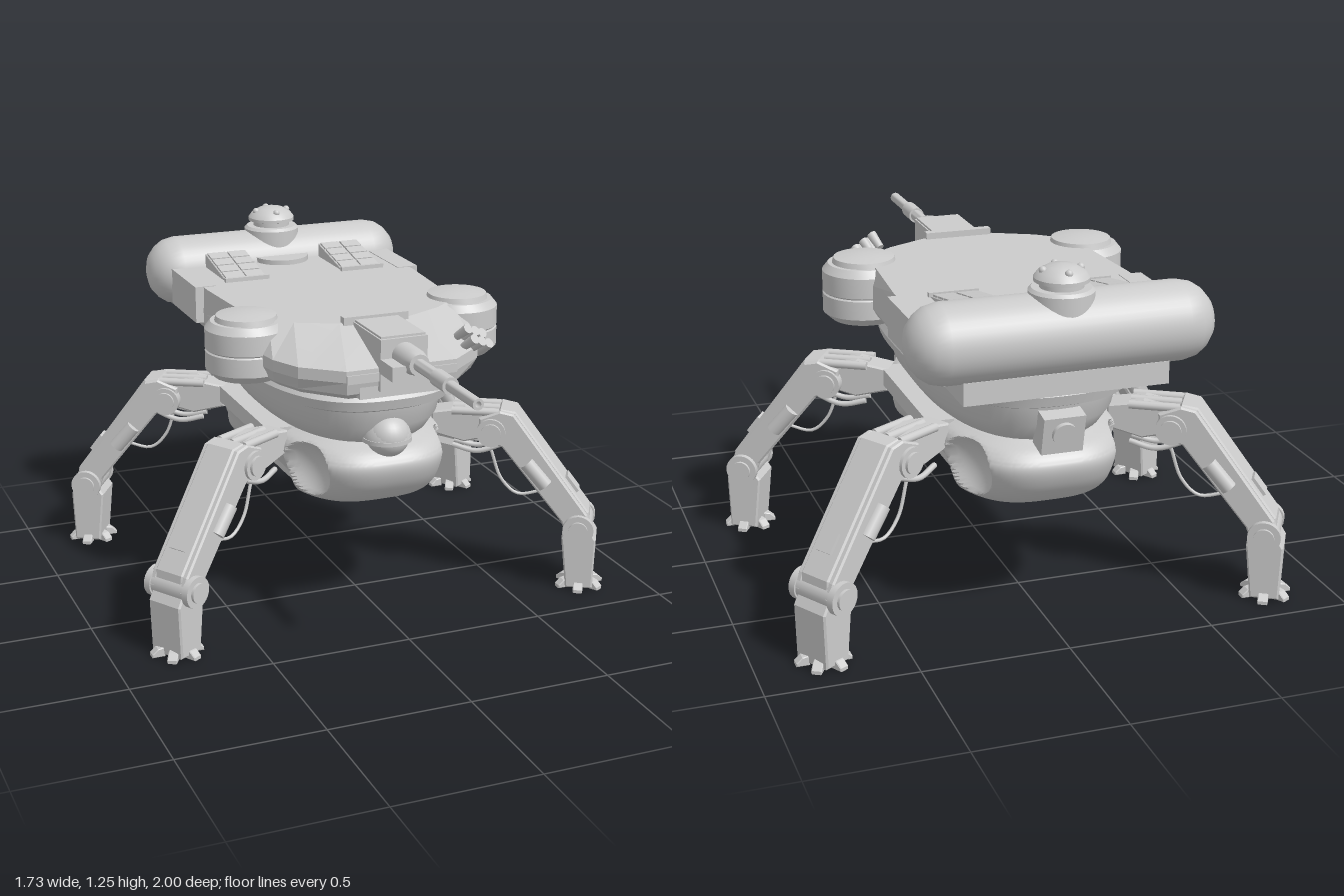
import * as THREE from 'three';
import { toCreasedNormals } from 'three/addons/utils/BufferGeometryUtils.js';

const MID = -0.27; // z of the chassis centre
const Q = Math.PI / 2;
const mat = new THREE.MeshStandardMaterial({ color: 0xcccccc, side: THREE.DoubleSide });

function add(parent, name, geo, x = 0, y = 0, z = 0, rx = 0, ry = 0, rz = 0) {
  const m = new THREE.Mesh(geo, mat);
  m.name = name;
  m.position.set(x, y, z);
  m.rotation.set(rx, ry, rz);
  parent.add(m);
}
const box = (w, h, d) => new THREE.BoxGeometry(w, h, d);
const cyl = (r0, r1, h, n = 24) => new THREE.CylinderGeometry(r0, r1, h, n);
const lathe = (pts, n = 40) =>
  toCreasedNormals(new THREE.LatheGeometry(pts.map(p => new THREE.Vector2(...p)), n), 0.6);
const tube = (pts, r) =>
  new THREE.TubeGeometry(new THREE.CatmullRomCurve3(pts.map(p => new THREE.Vector3(...p))), 16, r, 8);

// side profile extruded symmetrically across its width
function slab(pts, width, bevel = 0.006) {
  const g = new THREE.ExtrudeGeometry(new THREE.Shape(pts.map(p => new THREE.Vector2(...p))), {
    depth: width - 2 * bevel, bevelEnabled: true, bevelSize: bevel, bevelThickness: bevel,
    bevelOffset: -bevel, bevelSegments: 1 });
  return g.translate(0, 0, bevel - width / 2);
}

// closed skin through rings of equal point count, listed bottom to top
function loft(rings, crease) {
  const n = rings[0].length, pos = rings.flat(2), idx = [];
  for (let k = 0; k < rings.length - 1; k++)
    for (let i = 0; i < n; i++) {
      const a = k * n + i, b = k * n + (i + 1) % n;
      idx.push(a, a + n, b, b, a + n, b + n);
    }
  const top = (rings.length - 1) * n;
  for (let i = 1; i < n - 1; i++) idx.push(0, i, i + 1, top, top + i + 1, top + i);
  const g = new THREE.BufferGeometry();
  g.setAttribute('position', new THREE.Float32BufferAttribute(pos, 3));
  g.setIndex(idx);
  return toCreasedNormals(g, crease);
}
// superellipse ring; the angle runs from +x towards +z
function oval(y, hx, hz, e, n = 64) {
  return Array.from({ length: n }, (_, i) => {
    const a = i / n * Math.PI * 2, c = Math.cos(a), s = Math.sin(a);
    return [hx * Math.sign(c) * Math.abs(c) ** (2 / e), y, MID + hz * Math.sign(s) * Math.abs(s) ** (2 / e)];
  });
}
// mirrored plan outline, from the rear of +x round the front to the rear of -x
const plan = half => [...half, ...half.slice().reverse().map(([x, y, z]) => [-x, y, z])];

// hull rule: slanted flanks amidships and a round, sideways-facing leg socket near each corner
function carve([x, y, z]) {
  const dz = Math.abs(z - MID);
  let ax = Math.abs(x);
  const blend = 1 - THREE.MathUtils.smoothstep(dz, 0.28, 0.36);
  ax = THREE.MathUtils.lerp(ax, Math.min(ax, 0.2 + Math.max(0, y - 0.43) * 0.65), blend);
  const r2 = 0.15 ** 2 - (y - 0.545) ** 2 - (dz - 0.48) ** 2;
  if (r2 > 0) ax = Math.min(ax, 0.34 - Math.sqrt(r2));
  return [Math.sign(x) * ax, y, z];
}

function buildChassis(g) {
  // profile points hold height, half width and half length
  const profile = new THREE.CatmullRomCurve3([[0.4, 0.19, 0.42], [0.425, 0.25, 0.5], [0.45, 0.285, 0.55], [0.52, 0.305, 0.61],
    [0.59, 0.315, 0.63], [0.63, 0.30, 0.6], [0.66, 0.25, 0.54]].map(p => new THREE.Vector3(...p)));
  add(g, 'lowerHull', loft(profile.getPoints(44).map(p => oval(p.x, p.y, p.z, 3, 240).map(carve)), 0.6));
  add(g, 'upperBowl', loft([oval(0.63, 0.23, 0.51, 2.5), oval(0.67, 0.28, 0.56, 2.5),
    oval(0.72, 0.315, 0.59, 2.5), oval(0.79, 0.33, 0.605, 2.5)], 0.5));
  add(g, 'turretRing', loft([oval(0.785, 0.33, 0.60, 2.6), oval(0.80, 0.36, 0.635, 2.6),
    oval(0.835, 0.37, 0.645, 2.6), oval(0.87, 0.35, 0.61, 2.6)], 0.4));
  for (const s of [-1, 1]) add(g, 'sideRail', box(0.09, 0.06, 0.58), s * 0.295, 0.63, MID);
  // nose eye under a helmet, and the rear camera
  add(g, 'frontEye', new THREE.SphereGeometry(0.076, 28, 20), 0, 0.685, 0.3);
  add(g, 'eyeHelmet', new THREE.SphereGeometry(0.086, 28, 10, 0, Math.PI * 2, 0, Q), 0, 0.672, 0.29);
  add(g, 'eyeVisor', cyl(0.088, 0.088, 0.015, 28), 0, 0.675, 0.29);
  add(g, 'rearCamera', box(0.14, 0.13, 0.08), 0, 0.71, -0.872, -0.2);
  add(g, 'rearLens', cyl(0.04, 0.04, 0.03), 0, 0.71, -0.912, Q - 0.2);
}

function buildTurret(g) {
  const layer = (y, pts) => plan(pts.map(([x, z]) => [x, y, z]));
  add(g, 'turretHull', loft([
    layer(0.855, [[0.35, -0.77], [0.35, -0.42], [0.35, 0.03], [0.33, 0.13], [0.29, 0.23], [0.17, 0.36]]),
    layer(0.885, [[0.37, -0.77], [0.37, -0.42], [0.38, 0.05], [0.365, 0.17], [0.32, 0.28], [0.195, 0.41]]),
    layer(0.93, [[0.41, -0.77], [0.413, -0.42], [0.405, 0.05], [0.38, 0.2], [0.33, 0.31], [0.2, 0.42]]),
    layer(0.97, [[0.41, -0.77], [0.413, -0.42], [0.405, 0.05], [0.38, 0.2], [0.33, 0.31], [0.2, 0.42]]),
    layer(1.065, [[0.41, -0.77], [0.41, -0.42], [0.38, 0.0], [0.34, 0.05], [0.27, 0.11], [0.13, 0.18]])], 0.2));
  add(g, 'noseBand', box(0.4, 0.03, 0.02), 0, 0.94, 0.415);
  add(g, 'rearSkirt', box(0.68, 0.075, 0.37), 0, 0.885, -0.755);
  for (const s of [-1, 1]) {
    add(g, 'flankBox', box(0.08, 0.135, 0.3), s * 0.402, 1.0, -0.61);
    add(g, 'sidePod', lathe([[0, 0.862], [0.115, 0.862], [0.145, 0.89], [0.145, 0.955], [0.14, 0.96], [0.145, 0.965],
      [0.145, 1.035], [0.125, 1.06], [0.11, 1.06], [0.105, 1.078], [0.06, 1.086], [0, 1.09]]), s * 0.4, 0, -0.012);
    // sloped vent with tiles
    const vent = slab([[0.5, 1.05], [0.75, 1.05], [0.75, 1.115], [0.5, 1.068]], 0.16, 0.002);
    add(g, 'vent', vent, s * 0.23, 0, 0, 0, Q);
    for (let i = 0; i < 2; i++)
      for (let j = 0; j < 4; j++)
        add(g, 'ventTile', box(0.07, 0.012, 0.052), s * 0.23 + (i - 0.5) * 0.08, 1.076 + j * 0.0112, -0.54 - j * 0.058, 0.19);
    add(g, 'ventLip', box(0.17, 0.02, 0.015), s * 0.23, 1.07, -0.497);
  }
  // rear tank with sensor dome
  const end = [[0, 0.505], [0.035, 0.502], [0.07, 0.49], [0.1, 0.465], [0.12, 0.435], [0.13, 0.39]];
  add(g, 'rearTank', lathe([...end.map(([r, h]) => [r, -h]), ...end.slice().reverse()]), 0, 1.033, -0.87, 0, 0, Q);
  add(g, 'tankHatch', cyl(0.105, 0.105, 0.03, 36), 0, 1.068, -0.765);
  add(g, 'sensorDome', lathe([[0.105, 1.04], [0.105, 1.17], [0.095, 1.18], [0.07, 1.18], [0.07, 1.195], [0.088, 1.2],
    [0.088, 1.212], [0.075, 1.23], [0.045, 1.247], [0, 1.254]]), 0, 0, -0.87);
  for (let i = 0; i < 4; i++) {
    const a = i * Q;
    add(g, 'domeStud', new THREE.SphereGeometry(0.013, 12, 8), Math.cos(a) * 0.062, 1.236, -0.87 + Math.sin(a) * 0.062);
  }
  // main gun
  add(g, 'gunMantlet', box(0.17, 0.18, 0.24), 0, 0.98, 0.315);
  add(g, 'mantletCheeks', box(0.3, 0.07, 0.08), 0, 0.9, 0.375);
  add(g, 'mantletPlate', box(0.24, 0.035, 0.03), 0, 1.07, 0.18);
  add(g, 'mantletRoof', box(0.16, 0.025, 0.25), 0, 1.065, 0.3);
  add(g, 'gunBarrel', lathe([[0, 0.4], [0.045, 0.4], [0.045, 0.52], [0.036, 0.56], [0.022, 0.56], [0.022, 0.7], [0.029, 0.7],
    [0.029, 0.8], [0.019, 0.8], [0.019, 1.0], [0.01, 1.0], [0.01, 0.96], [0, 0.96]], 24), 0, 1.01, 0, Q);
  add(g, 'gunSight', box(0.05, 0.05, 0.1), -0.062, 0.98, 0.49);
  // grenade launcher cluster
  add(g, 'launcherBase', box(0.1, 0.025, 0.08), 0.285, 0.99, 0.27, 0.4, 0.5);
  for (let i = 0; i < 3; i++)
    for (let j = 0; j < 2; j++)
      add(g, 'launcherTube', cyl(0.018, 0.014, 0.065, 12), 0.265 + i * 0.036 + j * 0.012, 1.03 - i * 0.016 - j * 0.03,
        0.325 - i * 0.018 + j * 0.03, 0.9, 0, -0.3);
}

// one leg: local x runs outward, y is height above ground, hip pivot at x = 0
function buildLeg() {
  const g = new THREE.Group(), slope = -0.92;
  g.name = 'leg';
  add(g, 'hipArm', slab([[-0.22, 0.58], [-0.22, 0.66], [-0.1, 0.68], [0.02, 0.66], [0.02, 0.58], [-0.1, 0.55]], 0.1));
  add(g, 'hipJoint', cyl(0.052, 0.052, 0.18), 0, 0.6, 0, Q);
  add(g, 'hipAxle', cyl(0.036, 0.036, 0.2), 0, 0.6, 0, Q);
  for (const z of [-0.055, 0, 0.055]) {
    add(g, 'hipPiston', cyl(0.015, 0.015, 0.17, 12), -0.06, 0.67, z, 0, 0, Q);
    add(g, 'hipCable', tube([[-0.14, 0.54, z], [-0.05, 0.525, z * 1.2], [0.06, 0.56, z]], 0.01));
  }
  // thigh: two side plates around an outer cover
  const side = [[-0.04, 0.57], [-0.045, 0.65], [0.03, 0.68], [0.08, 0.67], [0.355, 0.3], [0.375, 0.25], [0.35, 0.2],
    [0.29, 0.2], [0.262, 0.27], [0.04, 0.545]];
  const cover = [[0.0, 0.63], [0.03, 0.682], [0.085, 0.675], [0.36, 0.305], [0.365, 0.26], [0.31, 0.3], [0.1, 0.58]];
  for (const s of [-1, 1]) {
    add(g, 'thighPlate', slab(side, 0.025), 0, 0, s * 0.066);
    add(g, 'kneeCap', cyl(0.056, 0.056, 0.025), 0.325, 0.245, s * 0.085, Q);
    add(g, 'kneeBolt', cyl(0.035, 0.035, 0.035), 0.325, 0.245, s * 0.09, Q);
    add(g, 'thighDamper', cyl(0.028, 0.028, 0.11, 16), 0.165, 0.45, s * 0.075, 0, 0, Q + slope + 0.06);
    add(g, 'damperRod', cyl(0.014, 0.014, 0.24, 12), 0.165, 0.43, s * 0.035, 0, 0, Q + slope);
  }
  add(g, 'looseCable', tube([[0.0, 0.53, 0.06], [0.04, 0.42, 0.06], [0.1, 0.365, 0.055], [0.19, 0.38, 0.05]], 0.006));
  add(g, 'thighCover', slab(cover, 0.12));
  add(g, 'thighPanel', box(0.07, 0.016, 0.06), 0.293, 0.4, 0, 0, 0, slope);
  add(g, 'kneeJoint', cyl(0.05, 0.05, 0.15), 0.325, 0.245, 0, Q);
  // shin and clawed foot
  add(g, 'shin', slab([[0.285, 0.01], [0.265, 0.2], [0.3, 0.25], [0.36, 0.25], [0.39, 0.2], [0.383, 0.01]], 0.14));
  for (let i = 0; i < 6; i++) {
    const a = i * Math.PI / 3 + Math.PI / 6;
    add(g, 'toe', slab([[0, 0], [0, 0.035], [0.025, 0.03], [0.045, 0.012], [0.045, 0]], 0.035, 0.003),
      0.332 + Math.cos(a) * 0.045, 0, Math.sin(a) * 0.05, 0, -a);
  }
  return g;
}

export function createModel() {
  const model = new THREE.Group();
  model.name = 'walkerTank';
  const chassis = new THREE.Group(), turret = new THREE.Group();
  chassis.name = 'chassis';
  turret.name = 'turret';
  buildChassis(chassis);
  buildTurret(turret);
  model.add(chassis, turret);
  // four legs mirrored about the chassis centre
  for (const [sx, sz, name] of [[1, 1, 'frontLeftLeg'], [-1, 1, 'frontRightLeg'], [1, -1, 'rearLeftLeg'], [-1, -1, 'rearRightLeg']]) {
    const corner = new THREE.Group(), leg = buildLeg();
    corner.name = name;
    leg.position.set(0.49, 0, 0.395);
    leg.rotation.y = -0.54;
    corner.add(leg);
    corner.position.z = MID;
    corner.scale.set(sx, 1, sz);
    model.add(corner);
  }
  return model;
}
